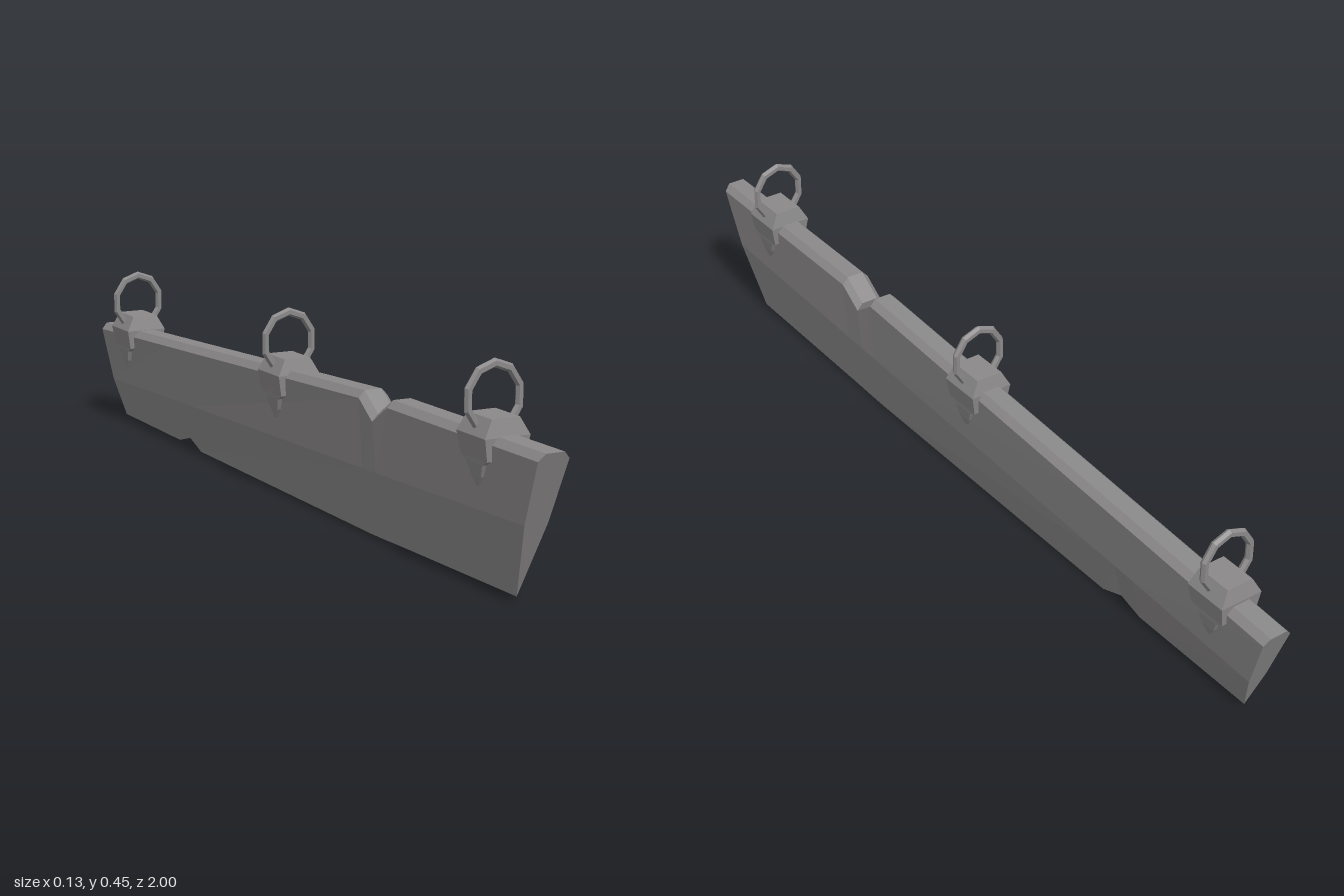
import * as THREE from 'three';

const steel = new THREE.MeshStandardMaterial({ color: 0x8b8989, flatShading: true });
steel.name = 'grey steel';

// Closed loft through rings of points, each counterclockwise seen from the first end
function loft(sections) {
  const n = sections[0].length, index = [];
  for (let s = 0; s < sections.length - 1; s++) {
    for (let i = 0; i < n; i++) {
      const j = (i + 1) % n, a = s * n, b = a + n;
      index.push(a + i, b + i, b + j, a + i, b + j, a + j);
    }
  }
  const last = (sections.length - 1) * n;
  for (let i = 1; i < n - 1; i++) {
    index.push(0, i, i + 1, last, last + i + 1, last + i);
  }
  const indexed = new THREE.BufferGeometry();
  indexed.setAttribute('position', new THREE.Float32BufferAttribute(sections.flat(2), 3));
  indexed.setIndex(index);
  const geometry = indexed.toNonIndexed();
  geometry.computeVertexNormals();
  return geometry;
}

function part(name, geometry) {
  const mesh = new THREE.Mesh(geometry, steel);
  mesh.name = name;
  return mesh;
}

// Wedge-shaped blade: [z at spine, z at edge, spine height, edge height]
function createBlade() {
  const stations = [
    [1, 0.885, 0.311, 0.012],
    [0.46, 0.46, 0.308, 0.003],
    [0.40, 0.40, 0.268, 0.001],
    [0.345, 0.345, 0.307, 0],
    [-0.48, -0.48, 0.265, 0.003],
    [-0.54, -0.54, 0.262, 0.025],
    [-0.60, -0.60, 0.259, 0.008],
    [-1, -0.925, 0.239, 0.010],
  ];
  return part('blade', loft(stations.map(([zTop, zEdge, top, edge]) => {
    const t = (1 - zTop) / 2;
    const mid = THREE.MathUtils.lerp(0.165, 0.10, t);
    const midHalf = THREE.MathUtils.lerp(0.026, 0.022, t);
    const outline = [
      [0, edge], [midHalf, mid], [0.034, top - 0.015], [0.02, top],
      [-0.02, top], [-0.034, top - 0.015], [-midHalf, mid],
    ];
    return outline.map(([x, y]) =>
      [x, y, THREE.MathUtils.mapLinear(y, edge, top, zEdge, zTop)]);
  })));
}

// Clamp: bevelled cap narrowing to a pointed tongue on each side
function createClamp() {
  const levels = [ // height, half width, half length
    [0.035, 0.031, 0.042], [0, 0.05, 0.05], [-0.045, 0.042, 0.046],
    [-0.055, 0.041, 0.027], [-0.08, 0.037, 0.017], [-0.1, 0.033, 0.003],
  ];
  return part('clamp', loft(levels.map(([y, x, z]) =>
    [[x, y, z], [x, y, -z], [-x, y, -z], [-x, y, z]])));
}

// Ten-sided hanging ring, slightly taller than wide
function createRing() {
  const geometry = new THREE.TorusGeometry(0.06, 0.0085, 6, 10);
  geometry.rotateZ(Math.PI / 10);
  geometry.scale(0.99, 1.1, 1);
  const ring = part('ring', geometry);
  ring.position.y = 0.066;
  return ring;
}

export function createModel() {
  const model = new THREE.Group();
  model.name = 'hanging blade';
  model.add(createBlade());

  // Three ringed clamps along the spine: [z, shoulder height]
  for (const [z, y] of [[0.795, 0.308], [-0.028, 0.28], [-0.843, 0.25]]) {
    const hanger = new THREE.Group();
    hanger.name = 'hanger';
    hanger.position.set(0, y, z);
    hanger.add(createClamp(), createRing());
    model.add(hanger);
  }
  return model;
}
